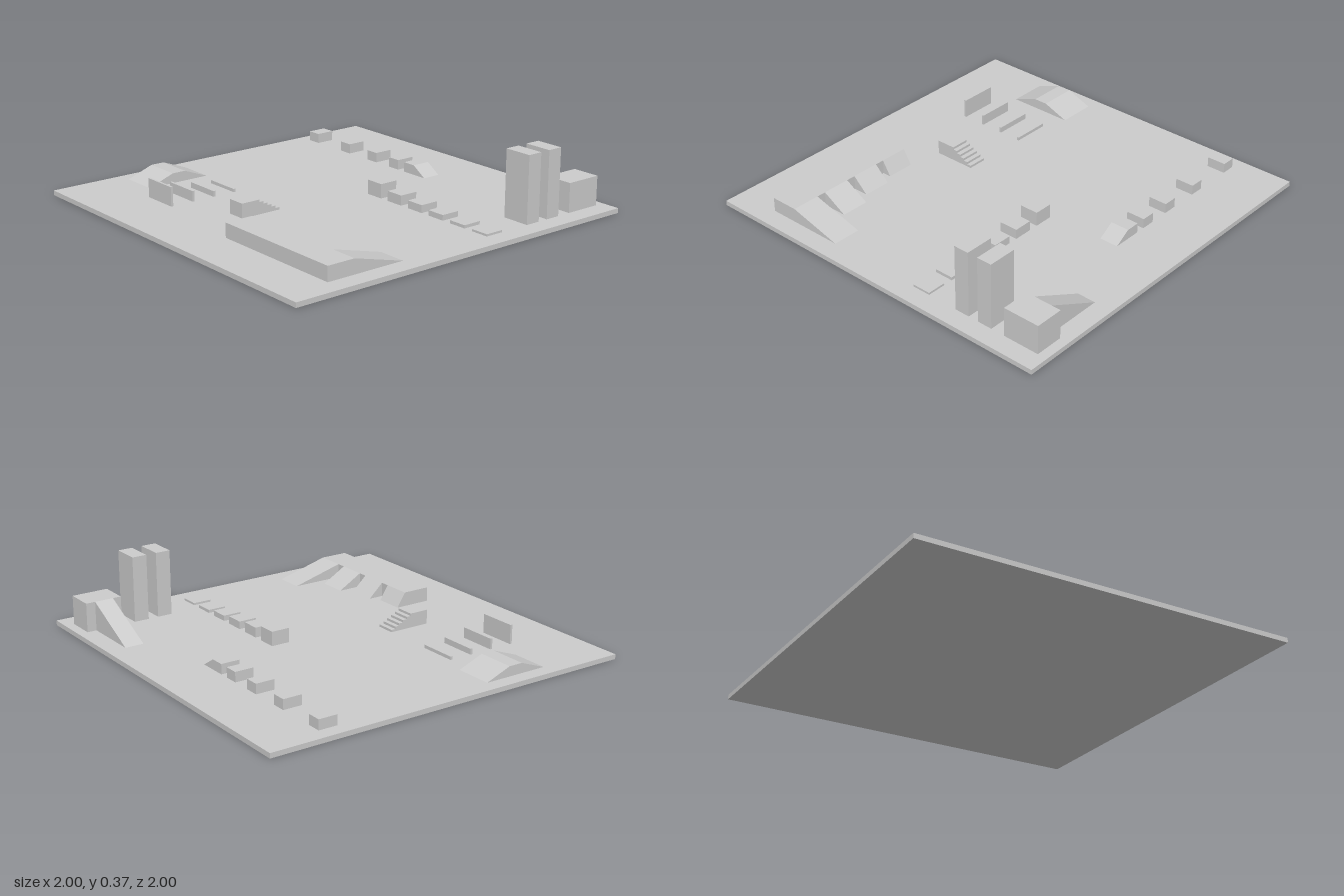
import * as THREE from 'three';

const FLOOR = 0.025;

export function createModel() {
  const group = new THREE.Group();
  group.name = 'skatePark';
  const concrete = new THREE.MeshStandardMaterial({ color: 0xcccccc });
  concrete.name = 'concrete grey';

  const add = (name, geometry) => {
    const mesh = new THREE.Mesh(geometry, concrete);
    mesh.name = name;
    group.add(mesh);
    return mesh;
  };

  // Box given by its extents, standing on the slab by default
  const block = (name, x0, x1, z0, z1, top, bottom = FLOOR) => {
    const mesh = add(name, new THREE.BoxGeometry(x1 - x0, top - bottom, z1 - z0));
    mesh.position.set((x0 + x1) / 2, (top + bottom) / 2, (z0 + z1) / 2);
  };

  const extrude = (points, depth) => new THREE.ExtrudeGeometry(
    new THREE.Shape(points.map(([a, b]) => new THREE.Vector2(a, b))),
    { depth, bevelEnabled: false });

  // Side profile in (x, y), running along z
  const profileXY = (name, points, z0, z1) =>
    add(name, extrude(points, z1 - z0).translate(0, 0, z0));

  // Side profile in (z, y), running along x
  const profileZY = (name, points, x0, x1) =>
    add(name, extrude(points.map(([z, y]) => [-z, y]), x1 - x0).rotateY(Math.PI / 2).translate(x0, 0, 0));

  // Ground slab
  block('groundSlab', -1, 1, -1, 1, FLOOR, 0);

  // Long platform with four ramps, each longer than the last
  block('longPlatform', 0.15, 0.9, 0.6, 0.75, 0.1);
  [0.553, 0.52, 0.47, 0.32].forEach((foot, i) => {
    const x = 0.15 + i * 0.2;
    profileZY('platformRamp', [[0.6, FLOOR], [0.6, 0.1], [foot, FLOOR]], x, x + 0.15);
  });

  // Low double-sided ramp with a flat top
  profileZY('tableRamp', [[0.6, FLOOR], [0.46, 0.077], [0.385, 0.077], [0.25, FLOOR]], -0.925, -0.725);

  // Thin walls, lower towards the back
  [[0.68, 0.125], [0.553, 0.08], [0.427, 0.055], [0.303, 0.042]].forEach(([z, top]) =>
    block('grindWall', -0.6, -0.4, z - 0.006, z + 0.006, top));

  // Landing with a flight of small steps
  const stairs = [[0.525, FLOOR], [0.525, 0.1], [0.42, 0.1]];
  const steps = 6, run = 0.12 / (steps - 1), rise = (0.1 - FLOOR) / steps;
  for (let i = 1; i < steps; i++) {
    const z = 0.42 - run * (i - 1), y = 0.1 - rise * i;
    stairs.push([z, y], [z - run, y]);
  }
  stairs.push([0.3, FLOOR]);
  profileZY('stairs', stairs, -0.13, -0.03);

  // Row of blocks falling in height
  [0.1, 0.077, 0.065, 0.053, 0.041, 0.036].forEach((top, i) => {
    const x = 0.05 + i * 0.15;
    block('descendingBlock', x, x + 0.1, -0.3, -0.2, top);
  });

  // Row of equal blocks with narrowing gaps, ending in a ramp
  [-0.925, -0.65, -0.427, -0.25, -0.127].forEach((x) =>
    block('gapBlock', x, x + 0.075, -0.7, -0.6, 0.077));
  profileXY('gapRamp', [[-0.052, FLOOR], [0.03, FLOOR], [-0.052, 0.077]], -0.7, -0.6);

  // Two towers
  block('tower', 0.75, 0.9, -0.545, -0.465, 0.37);
  block('tower', 0.75, 0.9, -0.68, -0.6, 0.37);

  // Corner block with a narrow ramp
  block('cornerBlock', 0.75, 0.9, -0.95, -0.755, 0.177);
  profileXY('cornerRamp', [[0.445, FLOOR], [0.75, FLOOR], [0.75, 0.177]], -0.9, -0.8);

  return group;
}
